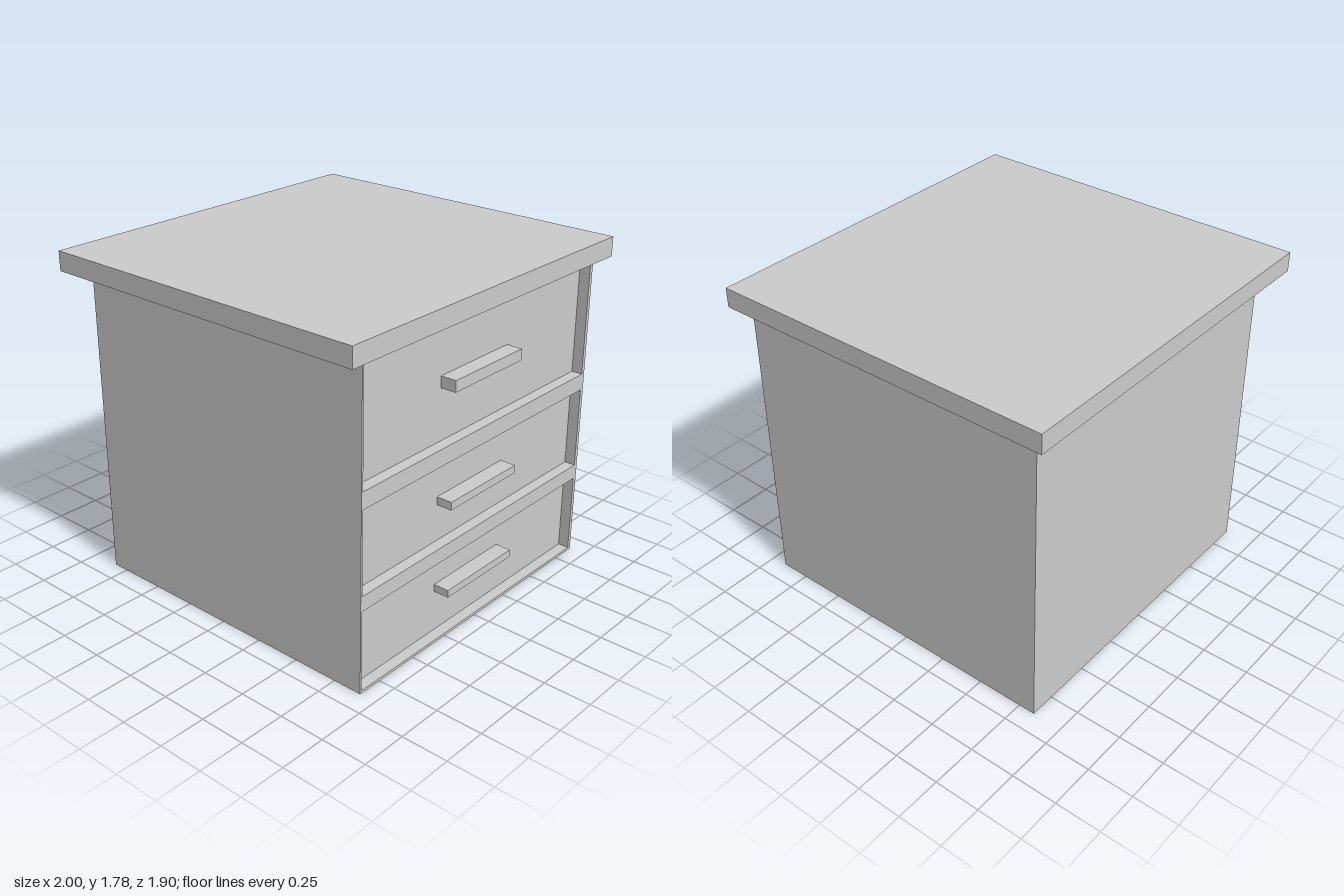
import * as THREE from 'three';

const material = new THREE.MeshStandardMaterial({ color: 0xcccccc, flatShading: true });

// Box given by its minimum and maximum corners
function block(name, [x0, y0, z0], [x1, y1, z1]) {
  const geometry = new THREE.BoxGeometry(x1 - x0, y1 - y0, z1 - z0);
  geometry.translate((x0 + x1) / 2, (y0 + y1) / 2, (z0 + z1) / 2);
  const mesh = new THREE.Mesh(geometry, material);
  mesh.name = name;
  return mesh;
}

function rectangle(target, x0, y0, x1, y1) {
  target.moveTo(x0, y0);
  target.lineTo(x1, y0);
  target.lineTo(x1, y1);
  target.lineTo(x0, y1);
  target.closePath();
  return target;
}

export function createModel() {
  const group = new THREE.Group();
  group.name = 'drawerCabinet';

  const panelZ = 0.85, frontZ = 0.91;
  // Drawer openings and handles, each as [bottom, top]
  const drawers = [
    { name: 'bottom', opening: [0.015, 0.445], handle: [0.24, 0.28] },
    { name: 'middle', opening: [0.525, 0.965], handle: [0.722, 0.765] },
    { name: 'top', opening: [1.055, 1.65], handle: [1.328, 1.388] },
  ];

  // Carcass, whose front forms the recessed drawer panels
  group.add(block('carcass', [-0.89, 0, -0.84], [0.89, 1.663, panelZ]));

  // Front frame with an opening for each drawer
  const outline = rectangle(new THREE.Shape(), -0.89, 0, 0.89, 1.663);
  for (const { opening } of drawers) {
    outline.holes.push(rectangle(new THREE.Path(), -0.88, opening[0], 0.868, opening[1]));
  }
  const frame = new THREE.Mesh(
    new THREE.ExtrudeGeometry(outline, { depth: frontZ - panelZ, bevelEnabled: false }),
    material
  );
  frame.position.z = panelZ;
  frame.name = 'frontFrame';
  group.add(frame);

  // Bar handles
  for (const { name, handle } of drawers) {
    group.add(block(`${name}Handle`, [-0.268, handle[0], panelZ], [0.252, handle[1], 0.935]));
  }

  // Thin spacer and overhanging top
  group.add(block('spacer', [-0.887, 1.663, -0.845], [0.887, 1.673, 0.9]));
  group.add(block('tabletop', [-1, 1.673, -0.95], [1, 1.777, 0.95]));

  return group;
}
